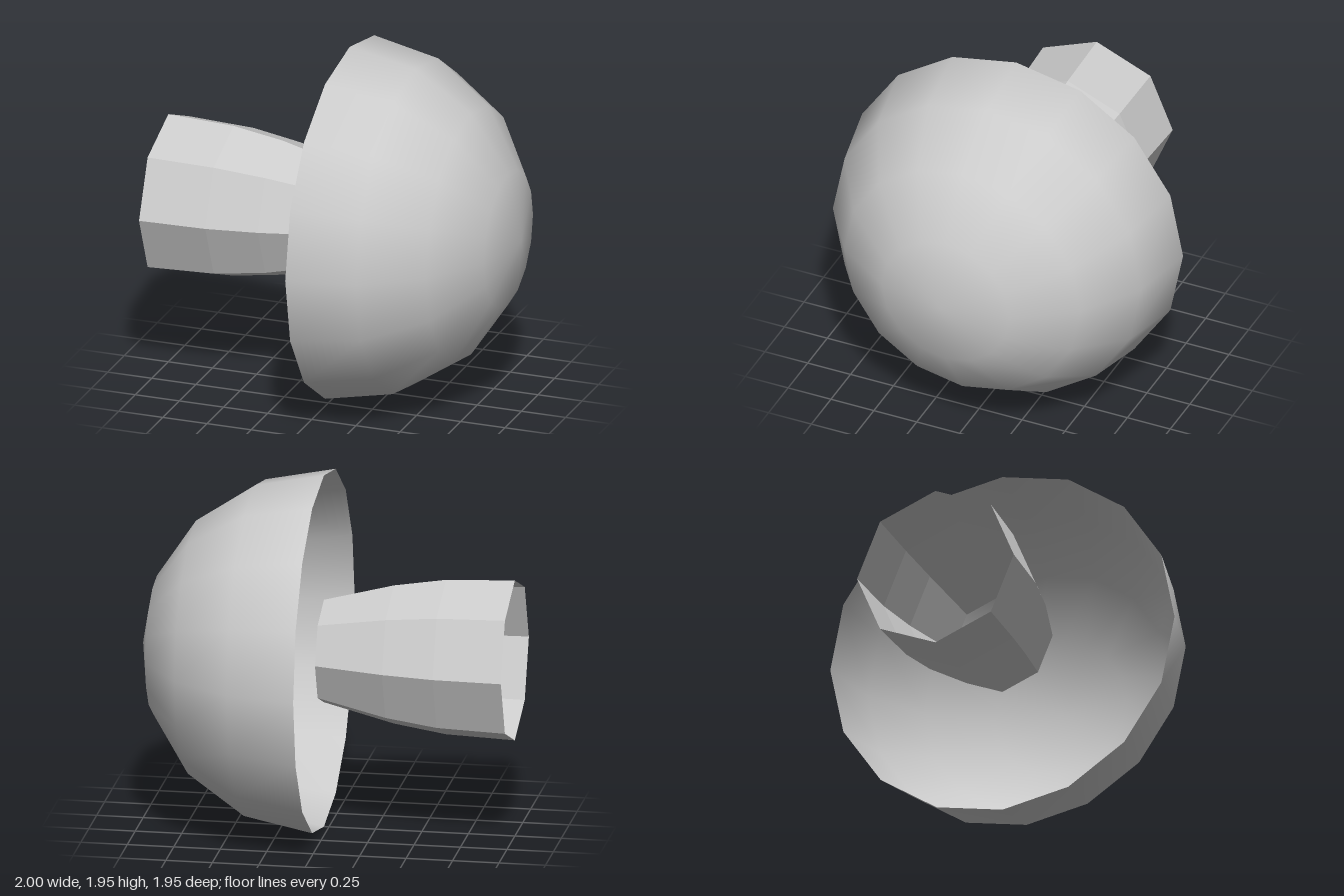
import * as THREE from 'three';

export function createModel() {
  const group = new THREE.Group();
  const radius = 0.973;
  const rimX = 0.027;

  // Both parts are turned around the x axis
  const addPart = (name, geometry, flatShading) => {
    geometry.rotateZ(-Math.PI / 2);
    const material = new THREE.MeshStandardMaterial({
      color: 0xcccccc, side: THREE.DoubleSide, flatShading,
    });
    const mesh = new THREE.Mesh(geometry, material);
    mesh.name = name;
    mesh.position.y = radius;
    group.add(mesh);
    return mesh;
  };

  // Cap: open smooth half dome with its pole towards +x
  const dome = new THREE.SphereGeometry(radius, 16, 4, 0, Math.PI * 2, 0, Math.PI / 2);
  addPart('cap', dome, false).position.x = rimX;

  // Stem: open eight-sided tube, narrowing towards the cap (radius, x)
  const profile = [[0.443, -1], [0.428, -0.63], [0.383, -0.35], [0.284, rimX]]
    .map(([r, x]) => new THREE.Vector2(r, x));
  addPart('stem', new THREE.LatheGeometry(profile, 8), true);

  return group;
}
